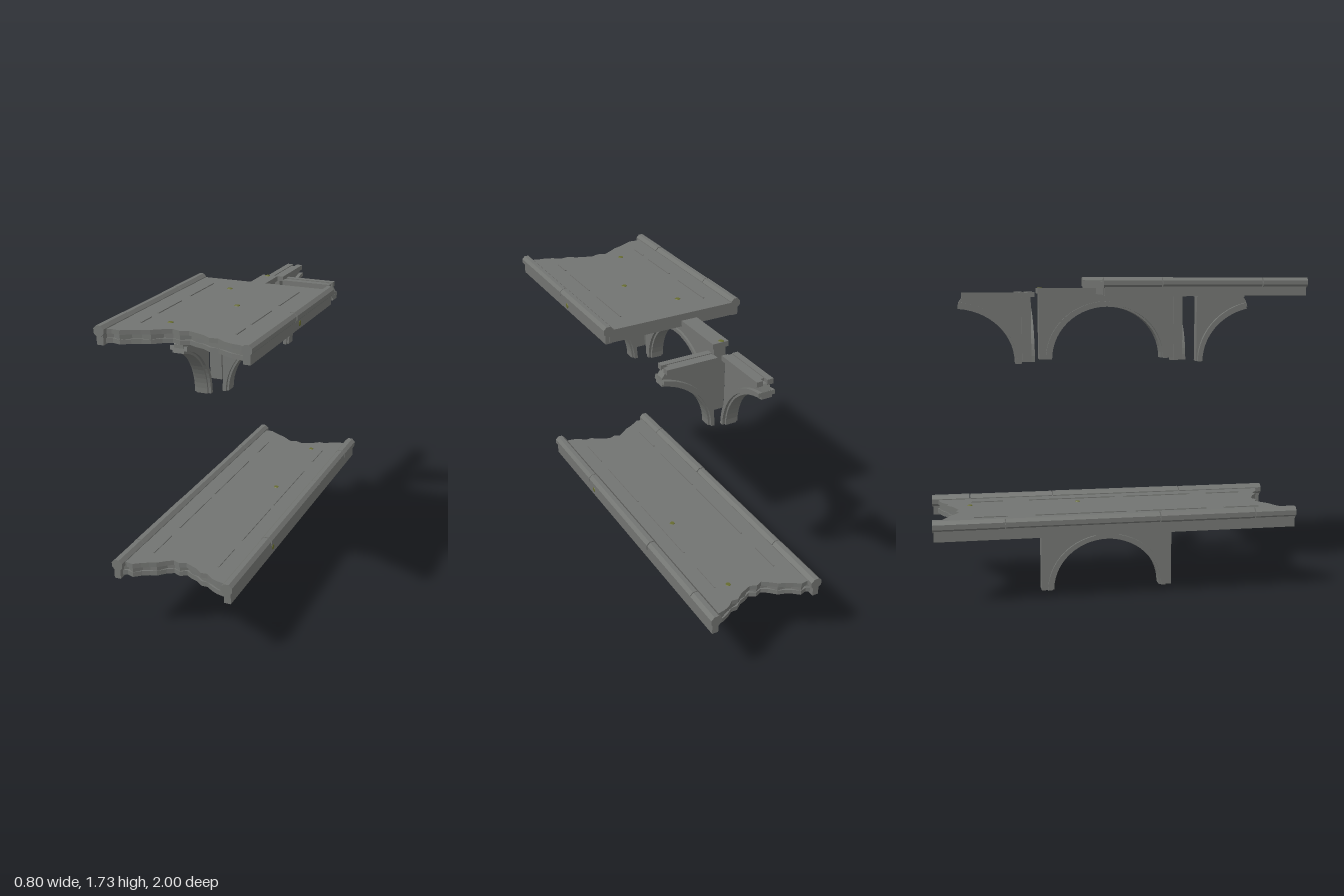
import * as THREE from 'three';

const stone = new THREE.MeshStandardMaterial({ color: 0x727471 });
stone.name = 'grey stone';
const moss = new THREE.MeshStandardMaterial({ color: 0x666b30 });
moss.name = 'moss green';

function add(parent, name, geo, mat = stone, x = 0, y = 0, z = 0) {
  const m = new THREE.Mesh(geo, mat);
  m.name = name;
  m.position.set(x, y, z);
  parent.add(m);
  return m;
}
const box = (parent, name, w, h, d, x, y, z) =>
  add(parent, name, new THREE.BoxGeometry(w, h, d), stone, x, y, z);

// Outline in the xy plane, extruded and centred on z
function plate(parent, name, pts, depth) {
  const shape = new THREE.Shape(pts.map(p => new THREE.Vector2(p[0], p[1])));
  const geo = new THREE.ExtrudeGeometry(shape, { depth, bevelEnabled: false });
  geo.translate(0, 0, -depth / 2);
  return add(parent, name, geo);
}

// Points on an ellipse standing on y = 0
function arc(cx, rx, ry, a0, a1, n) {
  return Array.from({ length: n + 1 }, (_, i) => {
    const a = a0 + (a1 - a0) * i / n;
    return [cx + rx * Math.cos(a), ry * Math.sin(a)];
  });
}

// Stepped rings under an arch: [outer size, inner size, thickness]
function rings(parent, cx, a1, n, list) {
  for (const [ox, oy, ix, iy, depth] of list) {
    const outer = arc(cx, ox, oy, Math.PI, a1, n);
    const inner = arc(cx, ix, iy, Math.PI, a1, n).reverse();
    plate(parent, 'archRing', [...outer, ...inner], depth);
  }
}

// Full arch running along z
function fullArch(y) {
  const g = new THREE.Group();
  g.name = 'fullArch';
  plate(g, 'archWall', [[-0.37, 0], [-0.37, 0.355], [0.37, 0.355], [0.37, 0],
    ...arc(0, 0.32, 0.295, 0, Math.PI, 28)], 0.066);
  rings(g, 0, 0, 28, [[0.335, 0.31, 0.312, 0.29, 0.09], [0.32, 0.298, 0.3, 0.28, 0.062]]);
  box(g, 'archCap', 0.755, 0.028, 0.09, 0, 0.366, 0);
  g.rotation.y = Math.PI / 2;
  g.position.set(-0.09, y, -0.038);
  return g;
}

// Broken quarter arch springing outward along its local x
function halfArch(name, length, x, z, turn) {
  const g = new THREE.Group();
  g.name = name;
  const cx = 0.36, end = Math.PI - Math.acos((cx - length) / 0.325);
  plate(g, 'archWall', [...arc(cx, 0.345, 0.315, Math.PI, end, 14),
    [length - 0.005, 0.33], [length - 0.025, 0.36], [0, 0.36], [0, 0]], 0.05);
  rings(g, cx, end, 14, [[0.355, 0.33, 0.335, 0.308, 0.09], [0.345, 0.32, 0.325, 0.295, 0.06]]);
  // Cap of two side rails around a shorter core
  box(g, 'capCore', length - 0.05, 0.022, 0.07, (length - 0.05) / 2, 0.364, 0);
  for (const s of [-1, 1])
    box(g, 'capRail', length - 0.02, 0.027, 0.034, (length - 0.02) / 2, 0.366, s * 0.029);
  g.position.set(x, 1.27, z);
  g.rotation.y = turn;
  return g;
}

// Torn end: how far it is eaten back, from one rail to the other
const tear = [0.02, 0.035, 0.03, 0.055, 0.075, 0.09, 0.12, 0.145, 0.13, 0.145,
  0.13, 0.115, 0.085, 0.09, 0.06, 0.045, 0.04, 0.02];
function tornEdge(hw, z, sign, shift) {
  return tear.map((d, i) => [
    -hw + 2 * hw * i / (tear.length - 1),
    z - sign * (d + shift * (1 + 0.8 * Math.sin(i * 2.3)))
  ]);
}

// One horizontal layer of the road slab
function layer(parent, o, y0, y1, shift, recess) {
  const front = tornEdge(o.hw - 0.035, o.front, 1, shift);
  const back = o.tornBack ? tornEdge(o.hw - 0.035, o.back, -1, shift)
    : [[-o.hw + 0.035, o.back], [o.hw - 0.035, o.back]];
  const outline = [...front, ...back.reverse()].map(p => new THREE.Vector2(p[0], -p[1]));
  const shape = new THREE.Shape(outline);
  if (recess) {
    const w = o.hw - 0.06, a = -(o.back + 0.03), b = -(o.front - 0.21);
    shape.holes.push(new THREE.Path([[-w, a], [w, a], [w, b], [-w, b]]
      .map(p => new THREE.Vector2(p[0], p[1]))));
  }
  const geo = new THREE.ExtrudeGeometry(shape, { depth: y1 - y0, bevelEnabled: false });
  geo.rotateX(-Math.PI / 2);
  add(parent, 'roadSlab', geo, stone, 0, y0, 0);
}

// Eight-sided rail between two z positions
function rail(parent, x, y, r, z0, z1) {
  const geo = new THREE.CylinderGeometry(r, r, z1 - z0, 8).toNonIndexed();
  geo.rotateY(Math.PI / 8);
  geo.rotateX(Math.PI / 2);
  geo.computeVertexNormals();
  add(parent, 'edgeRail', geo, stone, x, y, (z0 + z1) / 2);
}

function deck(o) {
  const g = new THREE.Group();
  g.name = o.name;
  g.position.x = o.x;
  const mid = (o.bottom + o.top) / 2;
  layer(g, o, mid + 0.012, o.top, 0, false);
  layer(g, o, mid - 0.012, mid + 0.012, 0.012, o.recess);
  layer(g, o, o.bottom, mid - 0.012, 0.004, o.recess);
  // Rails in segments, with a bracket running below
  for (const s of [-1, 1]) {
    const cuts = [o.back, ...(s < 0 ? o.cutsRight : o.cutsLeft), o.front];
    for (let i = 0; i < cuts.length - 1; i++) {
      const gap = i < cuts.length - 2 ? 0.006 : 0;
      const r = o.railR - (i % 2) * 0.0015;
      rail(g, s * (o.hw - o.railR), o.railY, r, cuts[i], cuts[i + 1] - gap);
    }
    box(g, 'railBracket', 0.036, o.railY - o.low, o.front - o.back - 0.012,
      s * (o.hw - 0.031), (o.railY + o.low) / 2, (o.front + o.back) / 2);
    // Low broken ridges along the roadway
    for (const [a, b] of o.ridges)
      box(g, 'roadRidge', 0.008, 0.006, b - a, s * (o.hw - 0.155), o.top + 0.002, (a + b) / 2);
  }
  return g;
}

// Small flat moss tufts
function mossPatch(parent, x, y, z, side) {
  const geo = new THREE.CylinderGeometry(0.013, 0.016, 0.004, 6);
  const m = add(parent, 'mossPatch', geo, moss, x, y, z);
  if (side) m.rotation.z = -Math.PI / 2;
}

export function createModel() {
  const g = new THREE.Group();
  g.name = 'ruinedBridge';

  // Lower bridge section
  g.add(deck({
    name: 'lowerDeck', x: -0.06, hw: 0.34, front: 0.97, back: -1, bottom: 0.385, top: 0.462,
    railY: 0.454, railR: 0.034, low: 0.374, tornBack: true, recess: false,
    cutsRight: [-0.62, 0.21, 0.74], cutsLeft: [-0.78, -0.3, 0.46],
    ridges: [[-0.78, -0.6], [-0.45, 0.05], [0.1, 0.5], [0.6, 0.8]]
  }));
  g.add(fullArch(0));

  // Upper bridge section, cut straight at the back
  g.add(deck({
    name: 'upperDeck', x: 0, hw: 0.4, front: 0.995, back: -0.1, bottom: 1.64, top: 1.709,
    railY: 1.702, railR: 0.029, low: 1.634, tornBack: false, recess: true,
    cutsRight: [0.21, 0.75], cutsLeft: [0.45],
    ridges: [[0.02, 0.3], [0.4, 0.65], [0.72, 0.82]]
  }));
  g.add(fullArch(1.292));

  // Quarter arches around the two upper piers
  g.add(halfArch('backHalfArch', 0.335, -0.09, -0.5, Math.PI / 2));
  g.add(halfArch('frontHalfArch', 0.285, -0.09, 0.465, -Math.PI / 2));
  for (const z of [-0.465, 0.385])
    g.add(halfArch('sideHalfArch', 0.3, -0.015, z, 0));

  // Moss on the roadways, caps and sides
  for (const [x, y, z] of [[0.05, 0.463, -0.79], [0.05, 0.463, -0.18], [-0.12, 1.71, 0.08],
    [0.05, 1.71, 0.37], [-0.12, 1.71, 0.76], [-0.1, 1.673, -0.4]])
    mossPatch(g, x, y, z, false);
  for (const [x, y, z] of [[0.268, 0.41, 0.41], [0.388, 1.66, 0.38], [-0.057, 0.34, -0.22],
    [-0.057, 0.12, 0.32]])
    mossPatch(g, x, y, z, true);
  return g;
}
